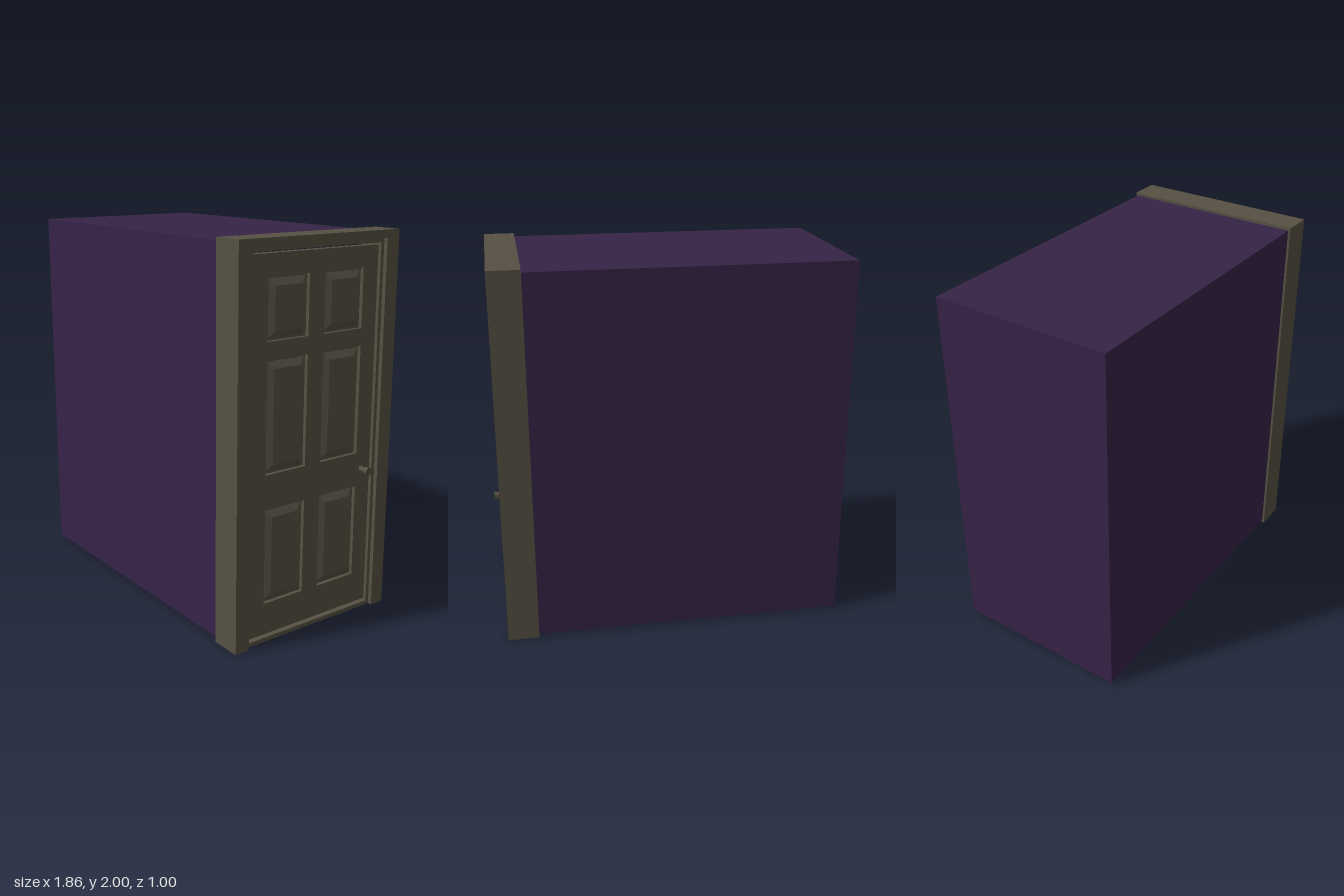
import * as THREE from 'three';

const olive = new THREE.MeshStandardMaterial({ color: 0x565143 });
olive.name = 'olive grey paint';
const purple = new THREE.MeshStandardMaterial({ color: 0x372347 });
purple.name = 'dark purple';

// Closed rectangle outline, usable as a shape or as a hole
function rect(x0, x1, y0, y1, Type = THREE.Shape) {
  const p = new Type();
  p.moveTo(x0, y0);
  p.lineTo(x1, y0);
  p.lineTo(x1, y1);
  p.lineTo(x0, y1);
  p.closePath();
  return p;
}

// Flat outline extruded from depth z0 to z1
function slab(name, shape, z0, z1) {
  const geo = new THREE.ExtrudeGeometry(shape, { depth: z1 - z0, bevelEnabled: false });
  geo.translate(0, 0, z0);
  const mesh = new THREE.Mesh(geo, olive);
  mesh.name = name;
  return mesh;
}

export function createModel() {
  const model = new THREE.Group();
  model.name = 'doorway';

  // Large plain block behind the door
  const block = new THREE.Mesh(new THREE.BoxGeometry(1.668, 1.97, 0.974), purple);
  block.name = 'block';
  block.position.set(-0.93 + 0.834, 1.0, 0);
  model.add(block);

  // The doorway is built facing +z, then turned to face +x
  const doorway = new THREE.Group();
  doorway.name = 'doorAndFrame';
  doorway.rotation.y = Math.PI / 2;
  model.add(doorway);

  // Outer casing, open at the bottom
  const casing = new THREE.Shape();
  [[-0.5, 0], [-0.42, 0], [-0.42, 1.96], [0.42, 1.96], [0.42, 0], [0.5, 0], [0.5, 2], [-0.5, 2]]
    .forEach(([x, y], i) => (i ? casing.lineTo(x, y) : casing.moveTo(x, y)));
  casing.closePath();
  doorway.add(slab('casing', casing, 0.735, 0.9));

  // Recessed inner jamb with threshold
  const jamb = rect(-0.42, 0.42, 0, 1.96);
  jamb.holes.push(rect(-0.401, 0.401, 0.022, 1.938, THREE.Path));
  doorway.add(slab('jamb', jamb, 0.735, 0.878));

  // Door leaf with six panel openings
  const door = new THREE.Group();
  door.name = 'door';
  doorway.add(door);
  const front = 0.864, recess = 0.02;
  const leaf = rect(-0.396, 0.396, 0.033, 1.927);
  const rows = [[0.2, 0.69], [0.87, 1.43], [1.52, 1.82]];
  const columns = [[-0.3, -0.05], [0.05, 0.3]];
  for (const [y0, y1] of rows) {
    for (const [x0, x1] of columns) {
      leaf.holes.push(rect(x0, x1, y0, y1, THREE.Path));

      // Raised field with sloping edges
      const inset = 0.044, slope = 0.034;
      const geo = new THREE.ExtrudeGeometry(
        rect(x0 + inset, x1 - inset, y0 + inset, y1 - inset),
        { depth: 0.002, bevelSize: slope, bevelThickness: recess - 0.002, bevelSegments: 1 }
      );
      geo.translate(0, 0, front - recess);
      const field = new THREE.Mesh(geo, olive);
      field.name = 'raisedPanel';
      door.add(field);
    }
  }
  door.add(slab('doorLeaf', leaf, front - recess, front));
  door.add(slab('doorBacking', rect(-0.396, 0.396, 0.033, 1.927), 0.82, front - recess));

  // Flared knob
  const profile = [[0, 0], [0.016, 0], [0.012, 0.025], [0.018, 0.038], [0.023, 0.062], [0, 0.062]]
    .map(([r, h]) => new THREE.Vector2(r, h));
  const knobGeo = new THREE.LatheGeometry(profile, 12).toNonIndexed();
  knobGeo.computeVertexNormals();
  const knob = new THREE.Mesh(knobGeo, olive);
  knob.name = 'knob';
  knob.rotation.x = Math.PI / 2;
  knob.position.set(0.335, 0.78, front);
  door.add(knob);

  return model;
}
